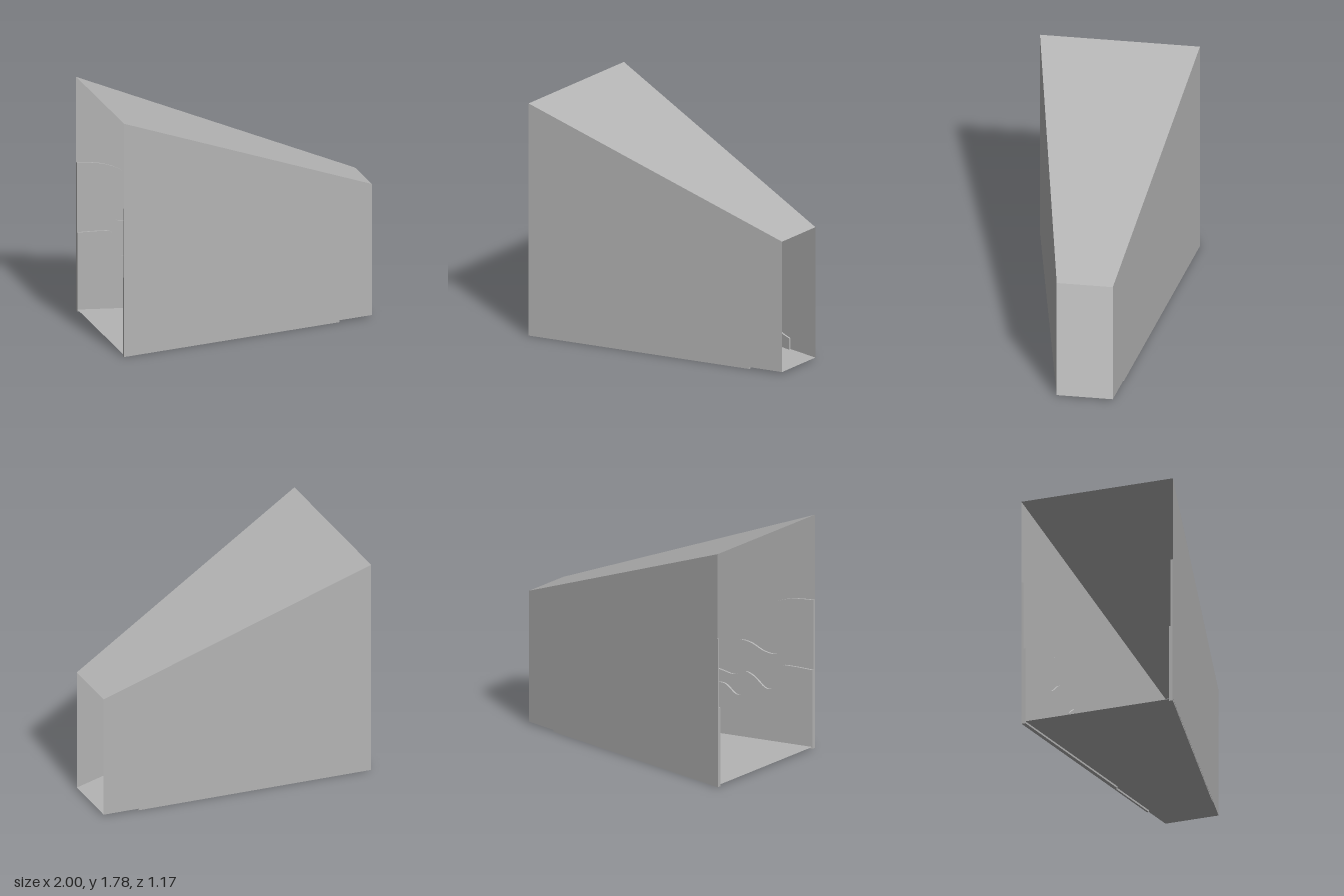
import * as THREE from 'three';

const grey = new THREE.MeshStandardMaterial({ color: 0xb4b4b4, side: THREE.DoubleSide });
grey.name = 'plain grey';

const FLOOR = 0.015;
// Half width and roof height of the tapering tunnel along x
const half = (x) => 0.395 - 0.19 * x;
const roofY = (x) => 1.395 - 0.382 * x;

// Flat four-cornered panel, corners counter-clockwise from outside
function panel(name, a, b, c, d) {
  const geo = new THREE.BufferGeometry();
  geo.setAttribute('position', new THREE.Float32BufferAttribute([a, b, c, a, c, d].flat(), 3));
  geo.computeVertexNormals();
  const mesh = new THREE.Mesh(geo, grey);
  mesh.name = name;
  return mesh;
}

// Wavy-topped plate lying against the inside of a side wall
const THICK = 0.015;
function wavePlate(name, crest, endX, side, layer) {
  const points = crest.map(([u, y]) => new THREE.Vector2(u - 1, y));
  const shape = new THREE.Shape();
  shape.moveTo(-1, 0);
  shape.lineTo(points[0].x, points[0].y);
  shape.splineThru(points.slice(1));
  shape.lineTo(endX, 0);
  shape.closePath();
  const geo = new THREE.ExtrudeGeometry(shape, { depth: THICK, bevelEnabled: false, curveSegments: 5 });
  // Shear the plate so that it follows the slanting wall
  const pos = geo.attributes.position;
  const inset = 0.001 + layer * THICK;
  for (let i = 0; i < pos.count; i++) {
    const h = half(pos.getX(i)) - inset;
    pos.setZ(i, pos.getZ(i) + (side > 0 ? h - THICK : -h));
  }
  geo.computeVertexNormals();
  const mesh = new THREE.Mesh(geo, grey);
  mesh.name = name;
  return mesh;
}

// Crest lines: distance from the wide end, height
const highCrest = [
  [0, 1.13], [0.18, 1.115], [0.32, 1.06], [0.372, 0.97], [0.322, 0.82], [0.265, 0.725],
  [0.3, 0.675], [0.394, 0.685], [0.5, 0.735], [0.587, 0.742], [0.616, 0.685], [0.58, 0.58],
  [0.587, 0.5], [0.644, 0.475], [0.72, 0.49], [0.83, 0.51], [0.9, 0.45], [0.95, 0.36],
  [1.05, 0.33], [1.17, 0.36], [1.25, 0.28], [1.38, 0.2], [1.52, 0.21], [1.64, 0.13], [1.74, 0.1],
];
const lowCrest = [
  [0, 0.6], [0.157, 0.606], [0.243, 0.597], [0.286, 0.515], [0.308, 0.425], [0.372, 0.41],
  [0.465, 0.487], [0.537, 0.51], [0.565, 0.44], [0.558, 0.35], [0.608, 0.33], [0.7, 0.4],
  [0.8, 0.38], [0.86, 0.27], [0.95, 0.22], [1.08, 0.23], [1.18, 0.13], [1.28, 0.08],
];

export function createModel() {
  const model = new THREE.Group();
  model.name = 'taperedTunnel';

  // Corner at end x, on the roof or floor, on side s
  const top = (x, s) => [x, roofY(x), s * half(x)];
  const low = (x, s) => [x, FLOOR, s * half(x)];

  // Open-ended shell
  model.add(
    panel('frontWall', low(-1, 1), low(1, 1), top(1, 1), top(-1, 1)),
    panel('backWall', low(1, -1), low(-1, -1), top(-1, -1), top(1, -1)),
    panel('roof', top(-1, 1), top(1, 1), top(1, -1), top(-1, -1)),
    panel('floor', low(-1, -1), low(1, -1), low(1, 1), low(-1, 1)),
  );

  // Two stacked wavy plates on each inner wall
  for (const side of [1, -1]) {
    const where = side > 0 ? 'front' : 'back';
    model.add(
      wavePlate(where + 'HighWave', highCrest, 0.74, side, 0),
      wavePlate(where + 'LowWave', lowCrest, 0.28, side, 1),
    );
  }
  return model;
}
